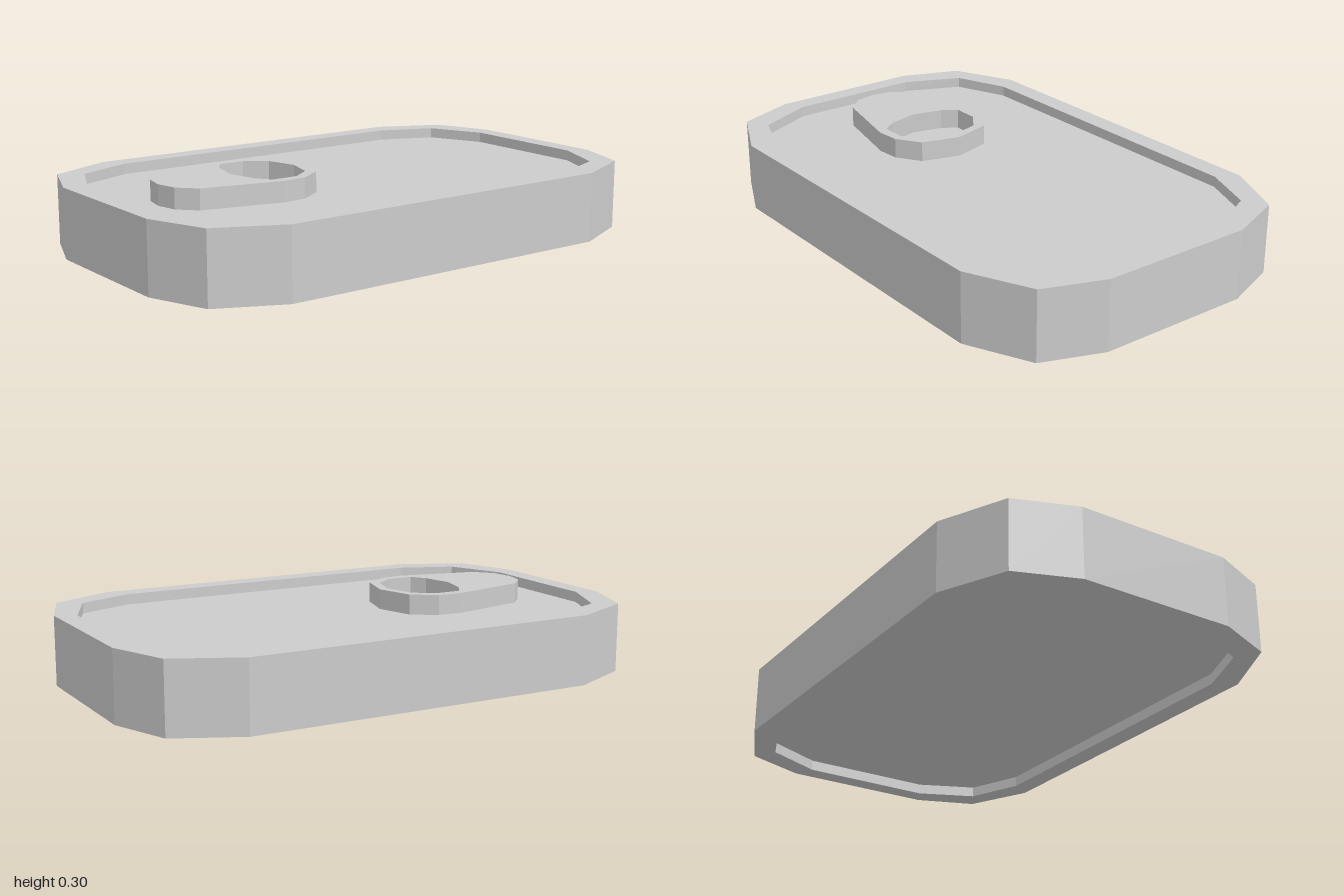
import * as THREE from 'three';

const material = new THREE.MeshStandardMaterial({ color: 0xcccccc, flatShading: true });

// Full outline [x, z] from one corner's points, mirrored front/back and left/right
function mirrorCorner(corner) {
  const right = [...corner, ...corner.map(([x, z]) => [x, -z]).reverse()];
  return [...right, ...right.map(([x, z]) => [-x, z]).reverse()];
}

// Full outline [x, z] from its right half, which starts and ends on x = 0
function mirrorHalf(half) {
  return [...half, ...half.slice(1, -1).map(([x, z]) => [-x, z]).reverse()];
}

// Closed skin through stacked loops {outline, y}, with a fan cap at each end
function loft(loops) {
  const rings = loops.map(({ outline, y }) => outline.map(([x, z]) => [x, y, z]));
  const n = rings[0].length;
  const last = rings.length - 1;
  const positions = [];
  const tri = (...points) => points.forEach((p) => positions.push(...p));
  for (let i = 0; i < n; i++) {
    const j = (i + 1) % n;
    tri([0, loops[0].y, 0], rings[0][j], rings[0][i]);
    for (let k = 0; k < last; k++) {
      const a = rings[k], b = rings[k + 1];
      tri(a[i], a[j], b[j]);
      tri(a[i], b[j], b[i]);
    }
    tri([0, loops[last].y, 0], rings[last][i], rings[last][j]);
  }
  const geometry = new THREE.BufferGeometry();
  geometry.setAttribute('position', new THREE.Float32BufferAttribute(positions, 3));
  geometry.computeVertexNormals();
  return geometry;
}

const toVectors = (outline) => outline.map(([x, z]) => new THREE.Vector2(x, -z));

export function createModel() {
  const group = new THREE.Group();

  // Tin with a raised rim around recessed panels above and below
  const outer = mirrorCorner([[0.295, 1], [0.52, 0.915], [0.633, 0.672]]);
  const inner = mirrorCorner([[0.257, 0.925], [0.47, 0.83], [0.553, 0.622]]);
  const tin = new THREE.Mesh(loft([
    { outline: inner, y: 0.04 },
    { outline: inner, y: 0 },
    { outline: outer, y: 0 },
    { outline: outer, y: 0.26 },
    { outline: inner, y: 0.26 },
    { outline: inner, y: 0.22 },
  ]), material);
  tin.name = 'tin';
  group.add(tin);

  // Pull tab: tapered plate with a finger hole, standing on the lid
  const plate = new THREE.Shape(toVectors(mirrorHalf([
    [0, 0.79], [0.083, 0.773], [0.148, 0.712], [0.215, 0.41],
    [0.207, 0.32], [0.147, 0.228], [0, 0.187],
  ])));
  plate.holes.push(new THREE.Path(toVectors(mirrorHalf([
    [0, 0.498], [0.116, 0.47], [0.172, 0.432],
    [0.172, 0.332], [0.116, 0.254], [0, 0.223],
  ]))));
  const tabGeometry = new THREE.ExtrudeGeometry(plate, { depth: 0.076, bevelEnabled: false });
  tabGeometry.rotateX(-Math.PI / 2);
  const tab = new THREE.Mesh(tabGeometry, material);
  tab.name = 'pullTab';
  tab.position.y = 0.22;
  group.add(tab);

  return group;
}
